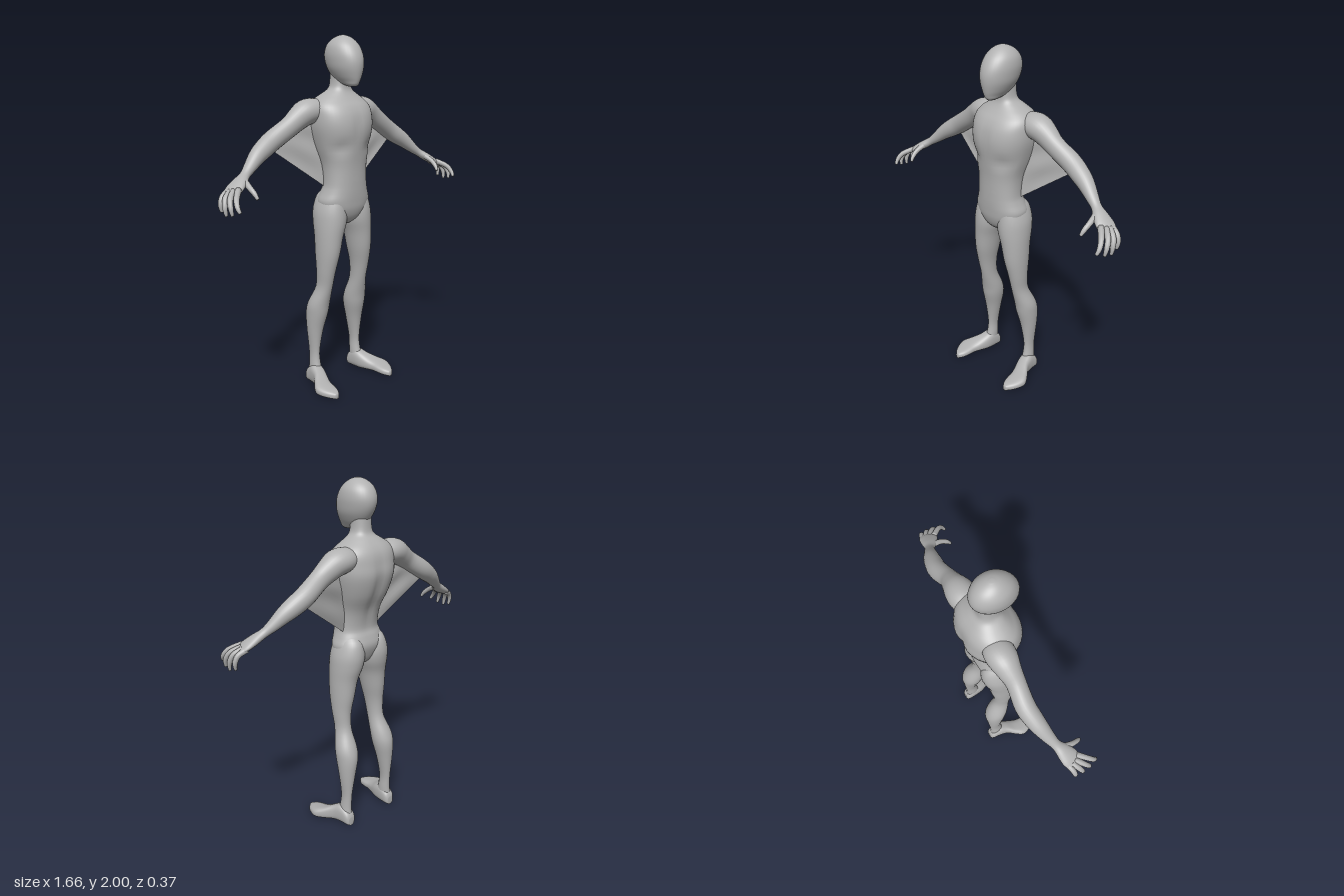
import * as THREE from 'three';

const V = (x, y, z) => new THREE.Vector3(x, y, z);
const UP = V(0, 1, 0);

// Catmull-Rom interpolation over rows of numbers
function refine(rows, steps) {
  const out = [];
  for (let i = 0; i < rows.length - 1; i++) {
    const a = rows[Math.max(i - 1, 0)], b = rows[i], c = rows[i + 1], d = rows[Math.min(i + 2, rows.length - 1)];
    for (let s = 0; s < steps; s++) {
      const t = s / steps;
      out.push(b.map((p, k) => 0.5 * (2 * p + (c[k] - a[k]) * t + (2 * a[k] - 5 * p + 4 * c[k] - d[k]) * t * t
        + (3 * p - a[k] - 3 * c[k] + d[k]) * t * t * t)));
    }
  }
  out.push(rows[rows.length - 1].slice());
  return out;
}

// Skin through rows [x, y, z, halfU, halfV]; rings face "dir", or follow the path if it is null
function loft(rows, { dir = null, ref = UP, n = 28, power = 1, steps = 4 } = {}) {
  const fine = refine(rows, steps);
  const first = fine[0], last = fine[fine.length - 1];
  const rings = [[...first.slice(0, 3), 0, 0], ...fine, [...last.slice(0, 3), 0, 0]];
  const pos = [], idx = [];
  const shape = (t) => Math.sign(t) * Math.pow(Math.abs(t), power);
  rings.forEach((r, i) => {
    const k = Math.min(Math.max(i - 1, 0), fine.length - 1);
    const p = fine[Math.max(k - 1, 0)], q = fine[Math.min(k + 1, fine.length - 1)];
    const d = dir ? dir.clone() : V(q[0] - p[0], q[1] - p[1], q[2] - p[2]).normalize();
    const u = d.clone().cross(ref).normalize();
    const v = u.clone().cross(d);
    for (let j = 0; j < n; j++) {
      const a = (j / n) * Math.PI * 2;
      const pt = V(r[0], r[1], r[2]).addScaledVector(u, r[3] * shape(Math.cos(a))).addScaledVector(v, r[4] * shape(Math.sin(a)));
      pos.push(pt.x, pt.y, pt.z);
      if (i < rings.length - 1) {
        const m = (j + 1) % n, A = i * n + j, B = i * n + m;
        idx.push(A, A + n, B, B, A + n, B + n);
      }
    }
  });
  return build(pos, idx);
}

function build(pos, idx) {
  const g = new THREE.BufferGeometry();
  g.setAttribute('position', new THREE.Float32BufferAttribute(pos, 3));
  g.setIndex(idx);
  g.computeVertexNormals();
  return g;
}

// Horizontal slices [y, xMin, xMax, zFront, zBack], listed from bottom to top
const slices = (rows, opts = {}) => loft(
  rows.map(([y, a, b, f, k]) => [(a + b) / 2, y, (f + k) / 2, (b - a) / 2, (f - k) / 2]),
  { dir: UP, ref: V(0, 0, 1), ...opts });

// Same geometry on the other side of the body
function mirrored(g) {
  const pos = Array.from(g.attributes.position.array, (v, i) => (i % 3 ? v : -v));
  return build(pos, Array.from(g.index.array).reverse());
}

export function createModel() {
  const skin = new THREE.MeshStandardMaterial({ color: 0xb2b2b2 });
  skin.name = 'grey';
  skin.side = THREE.DoubleSide;
  const model = new THREE.Group();
  model.name = 'figure';
  const add = (name, g) => {
    const mesh = new THREE.Mesh(g, skin);
    mesh.name = name;
    model.add(mesh);
  };
  const pair = (name, g) => {
    add('left' + name, g);
    add('right' + name, mirrored(g));
  };

  // Torso and neck: [y, half width, front z, back z]
  const torso = slices([
    [0.965, 0.03, 0.04, -0.03], [1.0, 0.09, 0.08, -0.075], [1.05, 0.145, 0.1, -0.1], [1.1, 0.163, 0.106, -0.112],
    [1.15, 0.145, 0.109, -0.1], [1.2, 0.132, 0.11, -0.086], [1.3, 0.134, 0.112, -0.108], [1.4, 0.16, 0.122, -0.158],
    [1.5, 0.184, 0.132, -0.186], [1.57, 0.188, 0.122, -0.18], [1.62, 0.182, 0.098, -0.168], [1.655, 0.155, 0.068, -0.148],
    [1.685, 0.108, 0.045, -0.12], [1.71, 0.07, 0.033, -0.094], [1.74, 0.056, 0.03, -0.084], [1.8, 0.052, 0.03, -0.08],
  ].map(([y, w, f, b]) => [y, -w, w, f, b]), { n: 48, power: 0.88 });
  // Spine groove and a softer one between the chest muscles
  const p = torso.attributes.position;
  const bump = (v, c, s) => Math.exp(-(((v - c) / s) ** 2));
  for (let i = 0; i < p.count; i++) {
    const x = p.getX(i), y = p.getY(i), z = p.getZ(i);
    if (z < -0.04) p.setZ(i, z + 0.018 * bump(x, 0, 0.03) * bump(y, 1.42, 0.16));
    if (z > 0.04) p.setZ(i, z - 0.006 * bump(x, 0, 0.025) * bump(y, 1.53, 0.07) - 0.012 * bump(y, 1.4, 0.035) * bump(Math.abs(x), 0.1, 0.05));
  }
  torso.computeVertexNormals();
  add('torso', torso);

  // Featureless head with a narrow jaw
  add('head', slices([
    [1.728, 0.018, 0.1, 0.045], [1.738, 0.033, 0.112, 0.01], [1.755, 0.046, 0.12, -0.045], [1.78, 0.062, 0.127, -0.072],
    [1.82, 0.08, 0.134, -0.1], [1.86, 0.088, 0.134, -0.117], [1.9, 0.09, 0.123, -0.12], [1.94, 0.082, 0.1, -0.106],
    [1.97, 0.062, 0.07, -0.08], [1.99, 0.036, 0.038, -0.045], [1.999, 0.01, 0.008, -0.015],
  ].map(([y, w, f, b]) => [y, -w, w, f, b]), { n: 36 }));

  // Legs
  pair('Leg', slices([
    [0.03, 0.135, 0.197, -0.01, -0.115], [0.07, 0.132, 0.196, -0.012, -0.114], [0.12, 0.132, 0.19, -0.032, -0.111],
    [0.2, 0.133, 0.186, -0.04, -0.115], [0.33, 0.108, 0.2, -0.024, -0.128], [0.43, 0.085, 0.207, 0, -0.135],
    [0.5, 0.08, 0.204, 0.012, -0.118], [0.6, 0.086, 0.176, 0.035, -0.072], [0.7, 0.078, 0.179, 0.058, -0.066],
    [0.8, 0.057, 0.183, 0.08, -0.08], [0.9, 0.036, 0.184, 0.09, -0.092], [0.98, 0.008, 0.183, 0.097, -0.114],
    [1.05, 0.002, 0.176, 0.094, -0.122], [1.12, 0.02, 0.152, 0.08, -0.108], [1.16, 0.05, 0.125, 0.05, -0.07],
  ], { n: 32 }));

  // Feet, heel to toe: [z, centre x, half width, top y]
  pair('Foot', loft([
    [-0.125, 0.165, 0.02, 0.05], [-0.11, 0.165, 0.034, 0.08], [-0.06, 0.168, 0.04, 0.115], [-0.01, 0.178, 0.044, 0.1],
    [0.04, 0.206, 0.054, 0.075], [0.08, 0.224, 0.058, 0.062], [0.12, 0.223, 0.052, 0.052], [0.16, 0.218, 0.036, 0.042],
    [0.188, 0.215, 0.012, 0.03],
  ].map(([z, x, w, top]) => [x, top / 2 + 0.003, z, w, top / 2]), { dir: V(0, 0, 1), ref: V(0, -1, 0), power: 0.75 }));

  // Arms run through the wrist into the palm
  pair('Arm', loft([
    [0.1, 1.6, -0.06, 0.06, 0.05], [0.16, 1.6, -0.067, 0.078, 0.066], [0.215, 1.59, -0.067, 0.076, 0.07],
    [0.265, 1.563, -0.066, 0.063, 0.064], [0.33, 1.52, -0.064, 0.051, 0.056], [0.43, 1.458, -0.075, 0.053, 0.055],
    [0.5, 1.415, -0.066, 0.05, 0.051], [0.55, 1.382, -0.054, 0.044, 0.044], [0.61, 1.333, -0.034, 0.033, 0.031],
    [0.65, 1.303, -0.018, 0.028, 0.024], [0.69, 1.277, 0, 0.042, 0.025], [0.735, 1.25, 0.016, 0.052, 0.021],
    [0.768, 1.23, 0.027, 0.045, 0.013],
  ]));

  // Curled fingers and thumb
  const digits = {
    IndexFinger: [[0.735, 1.248, 0.05], [0.78, 1.22, 0.1], [0.797, 1.185, 0.13], [0.793, 1.155, 0.148]],
    MiddleFinger: [[0.75, 1.242, 0.03], [0.795, 1.215, 0.068], [0.81, 1.175, 0.092], [0.806, 1.137, 0.1]],
    RingFinger: [[0.755, 1.24, 0.01], [0.8, 1.213, 0.034], [0.815, 1.17, 0.05], [0.812, 1.13, 0.055]],
    LittleFinger: [[0.75, 1.24, -0.012], [0.795, 1.217, 0], [0.812, 1.18, 0.006], [0.808, 1.143, 0.01]],
    Thumb: [[0.672, 1.283, 0.01], [0.68, 1.258, 0.062], [0.676, 1.23, 0.1], [0.67, 1.202, 0.12]],
  };
  const radii = [0.017, 0.015, 0.013, 0.008];
  for (const [name, pts] of Object.entries(digits)) {
    pair(name, loft(pts.map((q, i) => [...q, radii[i], radii[i]]), { ref: V(0.5, 0.5, -0.6), n: 12 }));
  }

  // Webs stretched between arm and flank, with shallow folds
  const pos = [], idx = [], N = 14, M = 10;
  const shoulder = V(0.19, 1.56, -0.07), elbow = V(0.43, 1.4, -0.075);
  const flank = new THREE.QuadraticBezierCurve3(V(0.17, 1.53, -0.06), V(0.11, 1.36, -0.04), V(0.12, 1.18, -0.02));
  for (let i = 0; i <= N; i++) {
    const t = i / N, a = shoulder.clone().lerp(elbow, t), b = flank.getPoint(t);
    for (let j = 0; j <= M; j++) {
      const s = j / M, q = a.clone().lerp(b, s);
      pos.push(q.x, q.y, q.z + 0.006 * Math.sin(t * Math.PI * 4) * Math.sin(s * Math.PI));
      if (i < N && j < M) {
        const A = i * (M + 1) + j, B = A + M + 1;
        idx.push(A, A + 1, B, B, A + 1, B + 1);
      }
    }
  }
  pair('Web', build(pos, idx));
  return model;
}
